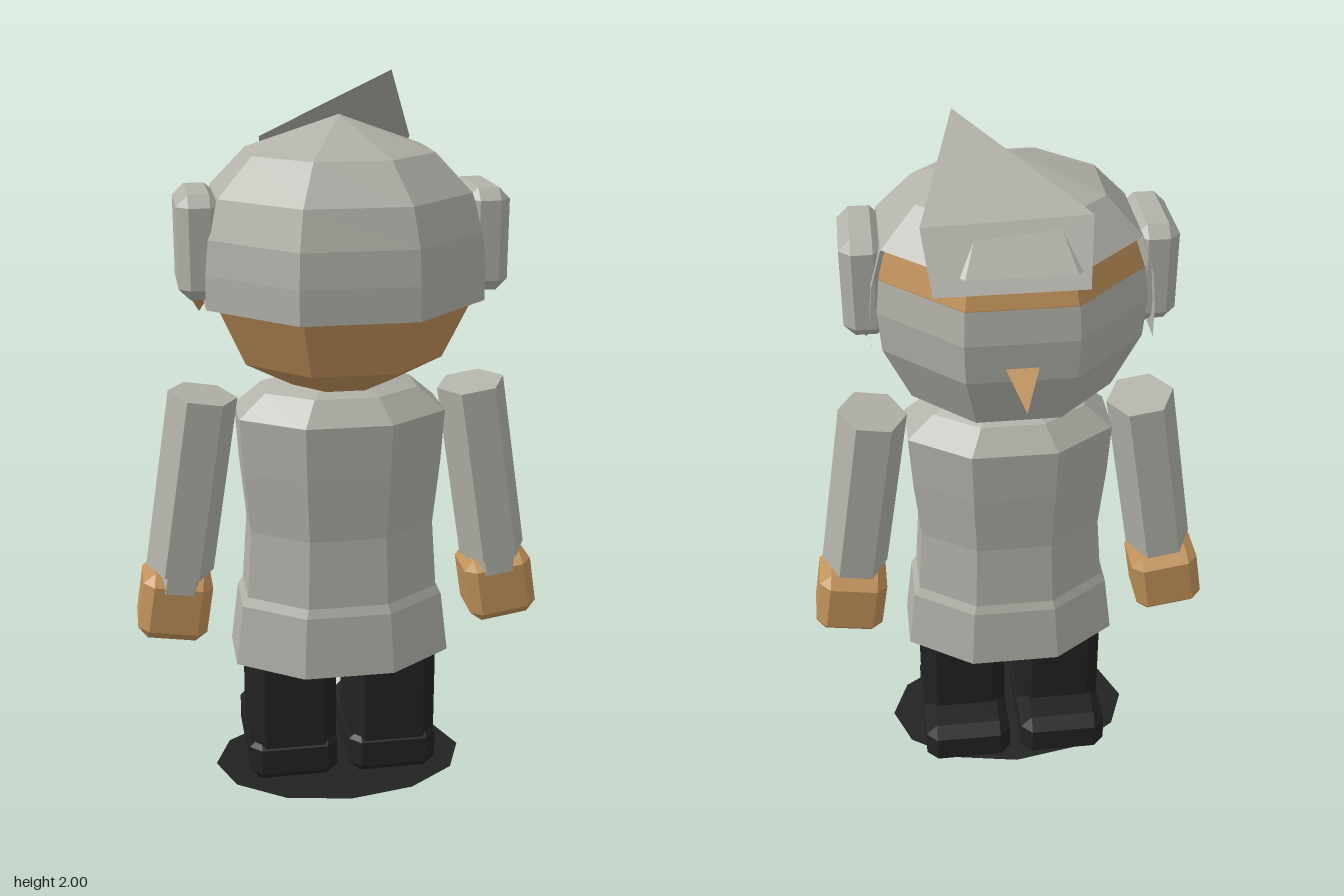
import * as THREE from 'three';
import { ConvexGeometry } from 'three/addons/geometries/ConvexGeometry.js';

const ZC = 0.04; // depth of the body axis
const EIGHTH = Math.PI / 4;

// Box with all edges chamfered by c
function chamferBox(w, h, d, c) {
  const pts = [];
  for (const x of [-1, 1]) for (const y of [-1, 1]) for (const z of [-1, 1]) {
    const p = [x * w / 2, y * h / 2, z * d / 2];
    const q = [p[0] - x * c, p[1] - y * c, p[2] - z * c];
    pts.push(
      new THREE.Vector3(p[0], q[1], q[2]),
      new THREE.Vector3(q[0], p[1], q[2]),
      new THREE.Vector3(q[0], q[1], p[2]));
  }
  return new ConvexGeometry(pts);
}

// Eight-sided lathe (flat side to the front), covering `sides` faces centred on angle `mid`;
// profile is [y, half depth] from bottom to top
function octLathe(profile, xScale, sides = 8, mid = 0) {
  const pts = profile.map(([y, a]) => new THREE.Vector2(a / Math.cos(Math.PI / 8), y));
  const g = new THREE.LatheGeometry(pts, sides, mid - sides * EIGHTH / 2 + (sides === 8 ? Math.PI / 8 : 0), sides * EIGHTH);
  return g.scale(xScale, 1, 1).translate(0, 0, ZC);
}

// Six-sided prism with one edge pointing outward along x
function hexPrism(r, h) {
  return new THREE.CylinderGeometry(r, r, h, 6, 1, false, Math.PI / 6).scale(1, 1, 1.17);
}

// Pyramid from a base loop to a tip
function pyramid(base, tip) {
  return new ConvexGeometry([...base, tip].map(p => new THREE.Vector3(...p)));
}

export function createModel() {
  const model = new THREE.Group();
  const mat = (name, color, side = THREE.FrontSide) => {
    const m = new THREE.MeshStandardMaterial({ color, flatShading: true, side });
    m.name = name;
    return m;
  };
  const grey = mat('grey cloth', 0xb2b2aa, THREE.DoubleSide);
  const skin = mat('tan skin', 0xc1925a);
  const black = mat('black', 0x222222, THREE.DoubleSide);

  const add = (name, geo, material, x = 0, y = 0, z = 0, rz = 0) => {
    const m = new THREE.Mesh(geo, material);
    m.name = name;
    m.position.set(x, y, z);
    m.rotation.z = rz;
    model.add(m);
  };

  // Head
  add('head', octLathe([[1.17, 0], [1.18, 0.12], [1.26, 0.25], [1.42, 0.318],
    [1.53, 0.328], [1.62, 0.318], [1.71, 0.29], [1.78, 0.2]], 1.05), skin);
  add('mask', octLathe([[1.26, 0.256], [1.42, 0.324], [1.53, 0.333], [1.62, 0.324]], 1.04, 3, Math.PI), grey);
  add('hairTop', octLathe([[1.70, 0.312], [1.80, 0.225], [1.89, 0]], 1.05), grey);
  add('hairBack', octLathe([[1.42, 0.347], [1.51, 0.347], [1.60, 0.34], [1.70, 0.312]], 1.05, 5), grey);

  // Pointed quiff: a thin sloping plate
  const quiff = new THREE.BufferGeometry();
  quiff.setAttribute('position', new THREE.Float32BufferAttribute([
    0.135, 2.0, 0.05, 0.235, 1.802, -0.19, 0.215, 1.665, -0.285,
    -0.165, 1.665, -0.285, -0.185, 1.81, -0.18], 3));
  quiff.setIndex([0, 1, 4, 1, 2, 4, 2, 3, 4]);
  quiff.computeVertexNormals();
  add('quiff', quiff, grey);

  // Nose
  add('nose', pyramid([[0, 1.36, -0.29], [0.042, 1.46, -0.29], [-0.042, 1.46, -0.29]],
    [0, 1.388, -0.385]), skin);

  // Coat
  add('coat', octLathe([[0.374, 0], [0.374, 0.204], [0.55, 0.19], [0.575, 0.18], [0.77, 0.171],
    [0.95, 0.183], [1.10, 0.189], [1.165, 0.14], [1.19, 0.09], [1.19, 0]], 1.49), grey);

  for (const s of [-1, 1]) {
    const side = s > 0 ? 'left' : 'right';

    // Ear covers and ear tips
    add(side + 'EarCover', chamferBox(0.115, 0.27, 0.255, 0.03), grey, s * 0.374, 1.575, 0.055);
    add(side + 'EarTip', pyramid([[-0.035, 1.45, 0.005], [0.035, 1.45, 0.005],
      [0.035, 1.45, 0.085], [-0.035, 1.45, 0.085]], [0, 1.385, 0.045]), skin, s * 0.375);

    // Arms
    const tilt = s * 0.155;
    add(side + 'Sleeve', hexPrism(0.095, 0.51), grey, s * 0.411, 0.9, 0.035, tilt);
    add(side + 'Cuff', hexPrism(0.078, 0.06), grey, s * 0.453, 0.625, 0.035, tilt);
    add(side + 'Hand', chamferBox(0.195, 0.195, 0.185, 0.03), skin, s * 0.469, 0.542, 0.018, tilt);

    // Legs and shoes
    add(side + 'Leg', chamferBox(0.25, 0.38, 0.25, 0.04), black, s * 0.145, 0.24, 0.036);
    add(side + 'Shoe', chamferBox(0.255, 0.14, 0.37, 0.032), black, s * 0.145, 0.07, -0.02);
  }

  // Flat oval under the feet
  add('groundOval', new THREE.CircleGeometry(1, 12).scale(0.365, 0.245, 1).rotateX(-Math.PI / 2), black, 0, 0.002, 0.035);

  return model;
}
